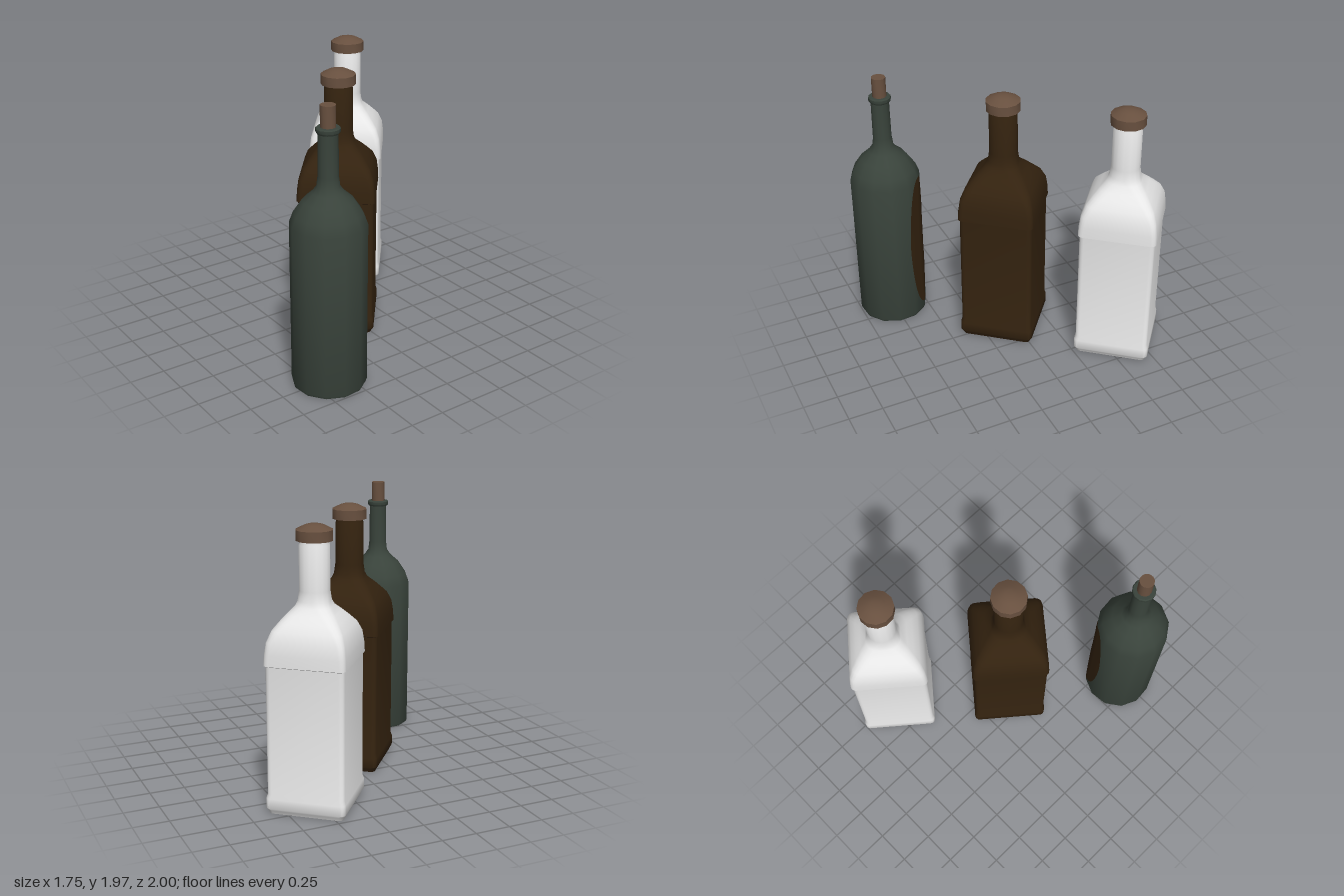
import * as THREE from 'three';
import { toCreasedNormals } from 'three/addons/utils/BufferGeometryUtils.js';

const mat = (name, color) => new THREE.MeshStandardMaterial({ name, color });
const TURN = THREE.MathUtils.degToRad(50.5); // all bottles share one heading
const CREASE = THREE.MathUtils.degToRad(40);

function mesh(name, geometry, material) {
  const m = new THREE.Mesh(geometry, material);
  m.name = name;
  return m;
}

// Turned part from [radius, height] pairs, listed bottom to top
function turned(profile, sides = 12) {
  const pts = profile.map(([r, y]) => new THREE.Vector2(r, y));
  return toCreasedNormals(new THREE.LatheGeometry(pts, sides), CREASE);
}

// Loft of rounded squares from [height, half side, corner radius] rows;
// a corner radius close to the half side gives a circle
function roundedSquareLoft(rows, steps = 4) {
  const pos = [], idx = [], n = 4 * (steps + 1);
  for (const [y, s, r] of rows) {
    for (let c = 0; c < 4; c++) {
      const mid = (c + 0.5) * Math.PI / 2;
      const reach = (s - r) * Math.SQRT2;
      for (let k = 0; k <= steps; k++) {
        const a = (c + k / steps) * Math.PI / 2;
        pos.push(Math.cos(mid) * reach + Math.cos(a) * r, y, -Math.sin(mid) * reach - Math.sin(a) * r);
      }
    }
  }
  const last = (rows.length - 1) * n;
  const bottom = pos.length / 3, top = bottom + 1;
  pos.push(0, rows[0][0], 0, 0, rows[rows.length - 1][0], 0);
  for (let i = 0; i < n; i++) {
    const j = (i + 1) % n;
    for (let k = 0; k < last; k += n) {
      idx.push(k + i, k + j, k + n + j, k + i, k + n + j, k + n + i);
    }
    idx.push(bottom, j, i, top, last + i, last + j);
  }
  const g = new THREE.BufferGeometry();
  g.setAttribute('position', new THREE.Float32BufferAttribute(pos, 3));
  g.setIndex(idx);
  return toCreasedNormals(g, CREASE);
}

// Oval label hugging the twelve-sided wall, centred on the +x corner
function ovalLabel(radius, y0, y1, halfAngle) {
  const rows = 24, cols = 8, pos = [], idx = [];
  const facet = Math.PI / 6;
  for (let i = 0; i <= rows; i++) {
    const t = (i / rows) * Math.PI;
    const y = (y0 + y1) / 2 - Math.cos(t) * (y1 - y0) / 2;
    for (let j = 0; j <= cols; j++) {
      const a = (j / cols * 2 - 1) * halfAngle * Math.sin(t);
      const mid = (Math.floor(a / facet) + 0.5) * facet;
      const r = radius * Math.cos(facet / 2) / Math.cos(a - mid) + 0.004;
      pos.push(Math.cos(a) * r, y, -Math.sin(a) * r);
    }
  }
  for (let i = 0; i < rows; i++) {
    for (let j = 0; j < cols; j++) {
      const a = i * (cols + 1) + j, b = a + cols + 1;
      idx.push(a, a + 1, b + 1, a, b + 1, b);
    }
  }
  const g = new THREE.BufferGeometry();
  g.setAttribute('position', new THREE.Float32BufferAttribute(pos, 3));
  g.setIndex(idx);
  g.computeVertexNormals();
  return g;
}

export function createModel() {
  const green = mat('dark green glass', 0x39433b);
  const brown = mat('dark brown glass', 0x33220f);
  const white = mat('clear white glass', 0xe6e6e6);
  const cork = mat('cork brown', 0x68503f);
  const model = new THREE.Group();
  model.name = 'bottles';

  function addBottle(name, x, z, parts) {
    const g = new THREE.Group();
    g.name = name;
    g.position.set(x, 0, z);
    g.rotation.y = TURN;
    g.add(...parts);
    model.add(g);
  }

  // Round wine bottle with lip, cork and oval label
  const R = 0.257;
  addBottle('roundBottle', -0.622, 0.742, [
    mesh('roundBody', turned([
      [0, 0], [0.25, 0], [R, 0.02], [R, 1.17], [0.229, 1.245], [0.17, 1.332],
      [0.107, 1.387], [0.077, 1.43], [0.068, 1.5], [0.066, 1.79],
    ]), green),
    mesh('lip', turned([
      [0.06, 1.785], [0.074, 1.785], [0.081, 1.797], [0.081, 1.818], [0.074, 1.825], [0, 1.825],
    ]), green),
    mesh('cork', turned([[0, 1.8], [0.051, 1.8], [0.051, 1.97], [0, 1.97]]), cork),
    mesh('ovalLabel', ovalLabel(R, 0.07, 1.2, THREE.MathUtils.degToRad(32)), brown),
  ]);

  // Two square bottles with raised base band, raised shoulder and domed stopper
  const squareRows = [
    [0.005, 0.255, 0.03], [0.03, 0.266, 0.035], [0.045, 0.275, 0.035], [0.115, 0.275, 0.035],
    [0.145, 0.266, 0.035], [1.03, 0.266, 0.035], [1.036, 0.277, 0.037], [1.11, 0.274, 0.04],
    [1.19, 0.264, 0.045], [1.26, 0.238, 0.06], [1.31, 0.2, 0.07], [1.355, 0.163, 0.078],
    [1.4, 0.122, 0.088], [1.435, 0.11, 0.1], [1.5, 0.102, 0.098], [1.8, 0.101, 0.097],
    [1.81, 0.096, 0.092], [1.85, 0.096, 0.092],
  ];
  const squareGeometry = roundedSquareLoft(squareRows);
  const stopperGeometry = turned([
    [0, 1.828], [0.124, 1.828], [0.124, 1.898], [0.065, 1.928], [0.03, 1.937], [0, 1.937],
  ]);
  for (const [name, x, z, glass] of [
    ['brownSquareBottle', -0.054, 0.043, brown],
    ['whiteSquareBottle', 0.502, -0.63, white],
  ]) {
    addBottle(name, x, z, [
      mesh('squareBody', squareGeometry, glass),
      mesh('stopper', stopperGeometry, cork),
    ]);
  }
  return model;
}
